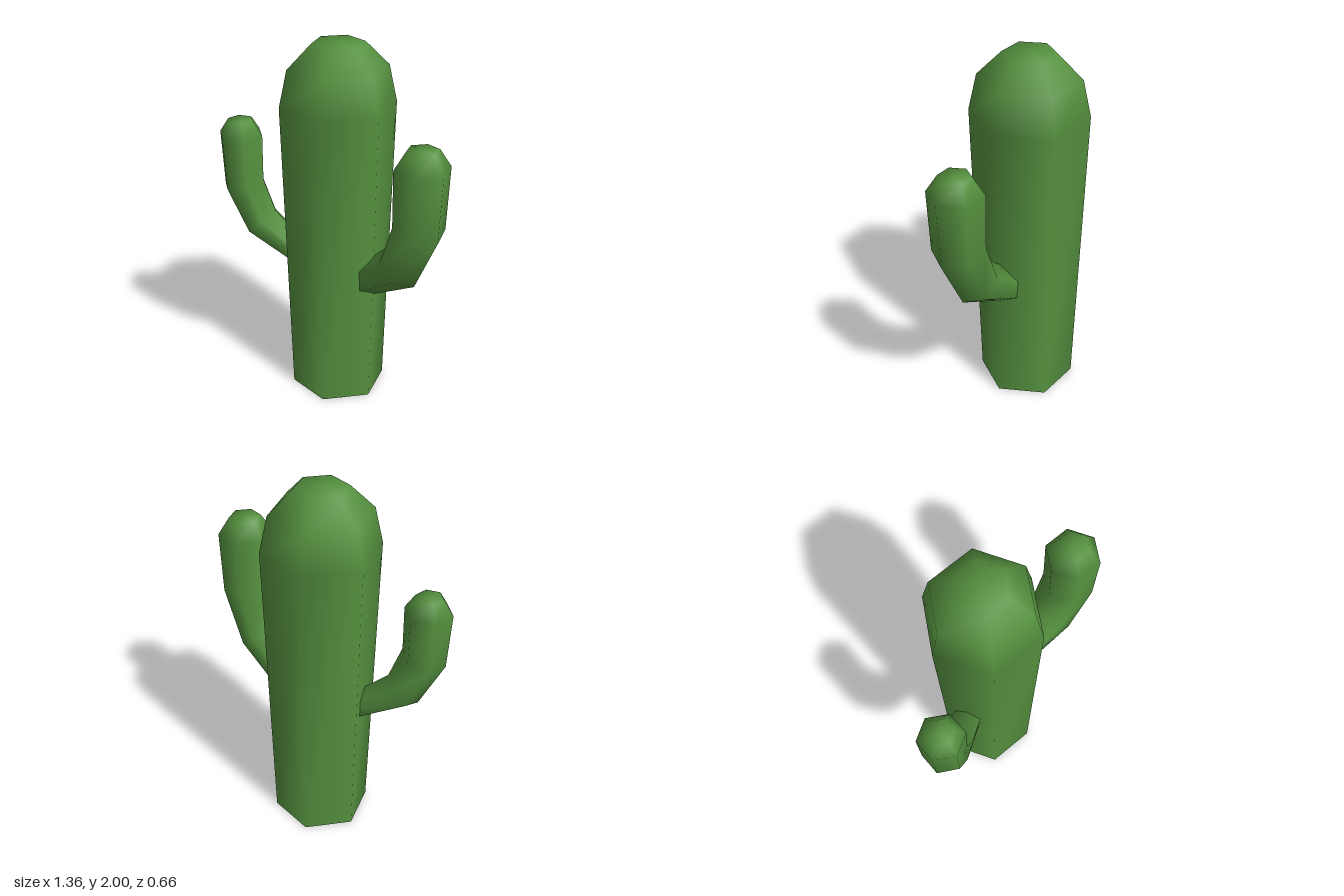
import * as THREE from 'three';

const SIDES = 6;

// Skin a hexagonal tube through rings [x, y, radius, tilt]; tilt leans the ring axis towards +x.
function loft(rings) {
  const pos = [], idx = [];
  for (const [x, y, r, tilt = 0] of rings) {
    for (let i = 0; i < SIDES; i++) {
      const a = (i / SIDES) * Math.PI * 2;
      const s = r * Math.cos(a);
      pos.push(x + s * Math.cos(tilt), y - s * Math.sin(tilt), r * Math.sin(a));
    }
  }
  for (let j = 0; j < rings.length - 1; j++) {
    for (let i = 0; i < SIDES; i++) {
      const k = (i + 1) % SIDES;
      const a = j * SIDES + i, b = j * SIDES + k;
      idx.push(a, a + SIDES, b, b, a + SIDES, b + SIDES);
    }
  }
  // Smoothly joined flat crown
  const last = rings.length - 1, centre = pos.length / 3;
  pos.push(rings[last][0], rings[last][1], 0);
  for (let i = 0; i < SIDES; i++) {
    idx.push(centre, last * SIDES + (i + 1) % SIDES, last * SIDES + i);
  }
  const geo = new THREE.BufferGeometry();
  geo.setAttribute('position', new THREE.Float32BufferAttribute(pos, 3));
  geo.setIndex(idx);
  geo.computeVertexNormals();
  return geo;
}

export function createModel() {
  const cactus = new THREE.Group();
  cactus.name = 'cactus';
  const green = new THREE.MeshStandardMaterial({ color: 0x55913f });
  green.name = 'cactus green';

  function add(name, geo, x, y, z) {
    const mesh = new THREE.Mesh(geo, green);
    mesh.name = name;
    mesh.position.set(x, y, z);
    cactus.add(mesh);
    return mesh;
  }

  // Trunk, slightly wider towards the domed top
  const trunk = [[0, 0, 0.26], [0, 1.67, 0.31], [0, 1.87, 0.267], [0, 2, 0.14]];
  add('trunk', loft(trunk), -0.077, 0, -0.065);

  // Flat underside with a sharp rim
  const base = add('trunkBase', new THREE.CircleGeometry(0.26, SIDES), -0.077, 0, -0.065);
  base.rotation.x = Math.PI / 2;

  // Arm curving out of the trunk and upwards; origin is on the axis of its upright end
  const arm = loft([
    [-0.48, 0.665, 0.08, 0.95],
    [-0.128, 0.91, 0.126, 0.685],
    [-0.01, 1.175, 0.139, 0.25],
    [0, 1.505, 0.146, 0],
    [0, 1.6, 0.085, 0],
  ]);
  add('leftArm', arm, 0.53, 0, -0.085);

  // Smaller copy on the other side, turned partly forwards
  const rightArm = add('rightArm', arm, -0.572, 0.151, 0.206);
  rightArm.scale.setScalar(0.85);
  rightArm.rotation.y = Math.PI * 7 / 6;

  return cactus;
}
